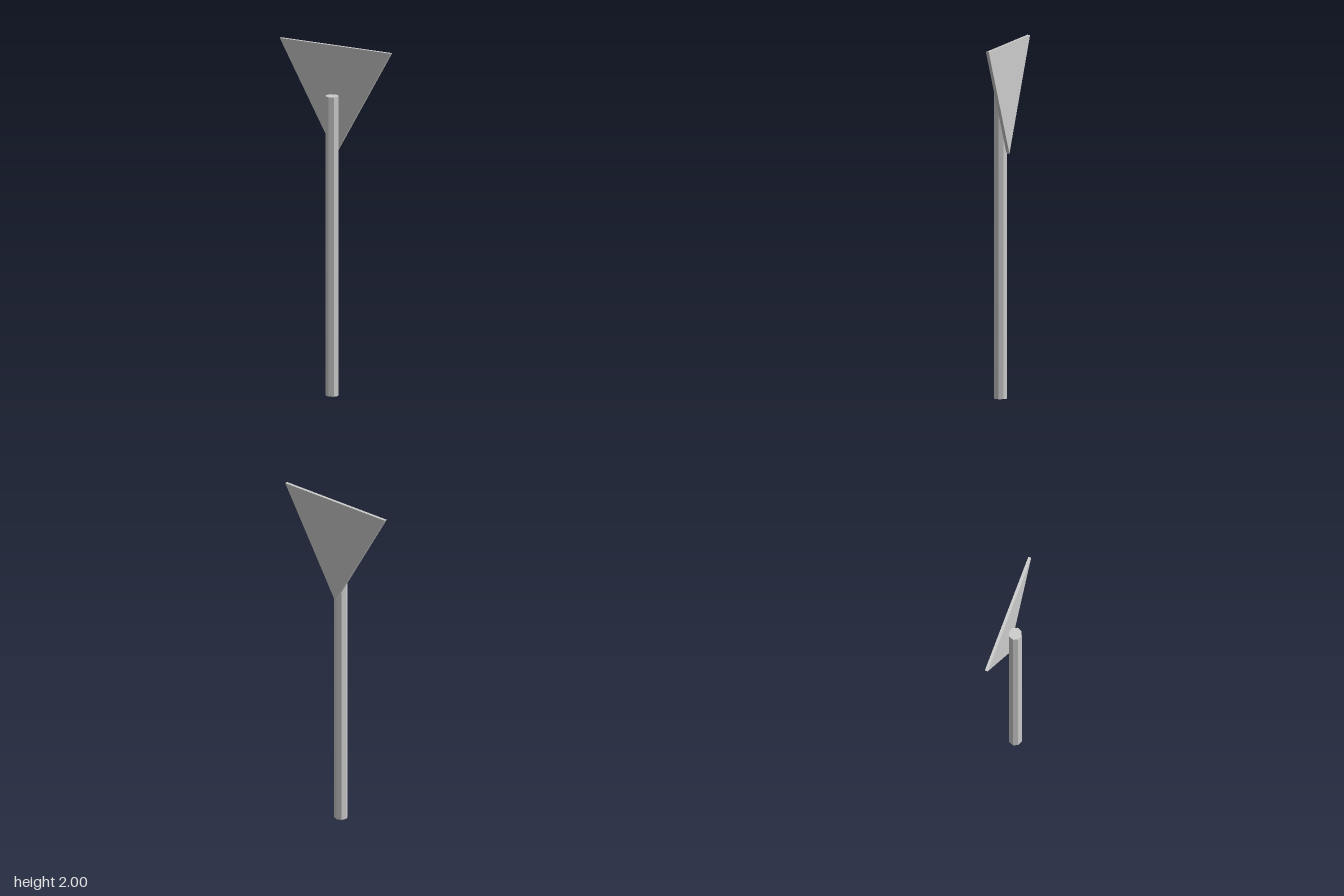
import * as THREE from 'three';

export function createModel() {
  const group = new THREE.Group();
  const material = new THREE.MeshStandardMaterial({
    color: 0xcccccc, flatShading: true, side: THREE.DoubleSide,
  });

  // Eight-sided post, closed at the top and open at the foot
  const radius = 0.038, height = 1.72;
  const profile = [[radius, 0], [radius, height], [0, height]].map(([x, y]) => new THREE.Vector2(x, y));
  const post = new THREE.Mesh(new THREE.LatheGeometry(profile, 8), material);
  post.name = 'post';
  post.position.z = 0.005;
  group.add(post);

  // Thin triangular plate, point down, fixed to the back of the post
  const triangle = new THREE.Shape([
    new THREE.Vector2(0, 1.378),
    new THREE.Vector2(0.359, 2),
    new THREE.Vector2(-0.359, 2),
  ]);
  const plate = new THREE.Mesh(
    new THREE.ExtrudeGeometry(triangle, { depth: 0.017, bevelEnabled: false }), material);
  plate.name = 'signPlate';
  plate.position.z = -0.047;
  group.add(plate);

  return group;
}
